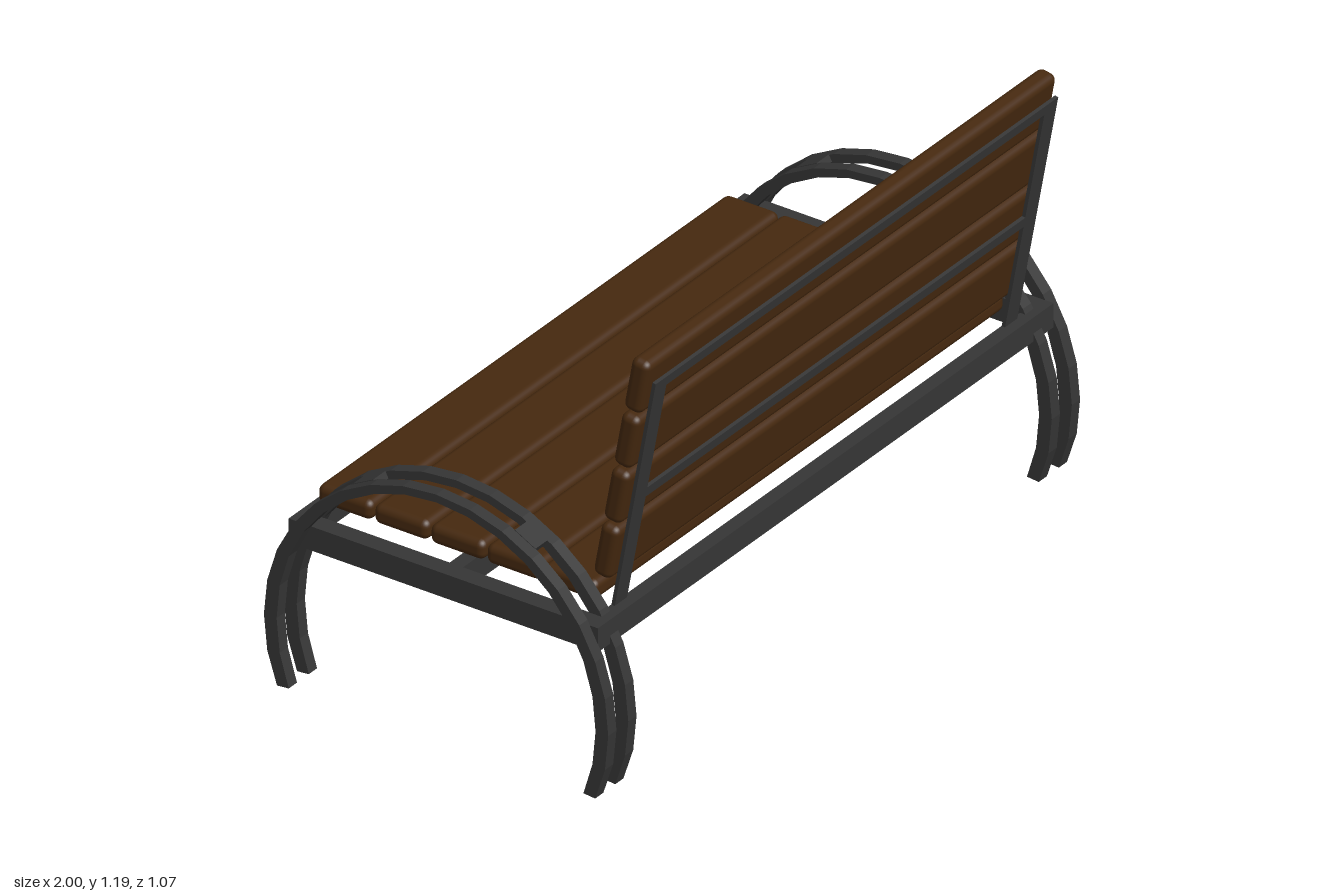
import * as THREE from 'three';
import { RoundedBoxGeometry } from 'three/addons/geometries/RoundedBoxGeometry.js';

export function createModel() {
  const model = new THREE.Group();
  const wood = new THREE.MeshStandardMaterial({ color: 0x46290f });
  const steel = new THREE.MeshStandardMaterial({ color: 0x363636 });

  const add = (parent, name, geometry, material, x = 0, y = 0, z = 0) => {
    const mesh = new THREE.Mesh(geometry, material);
    mesh.name = name;
    mesh.position.set(x, y, z);
    parent.add(mesh);
    return mesh;
  };
  const group = (name) => {
    const g = new THREE.Group();
    g.name = name;
    model.add(g);
    return g;
  };

  // Seat: five rounded planks
  const seat = group('seat');
  const seatPlank = new RoundedBoxGeometry(1.74, 0.055, 0.163, 3, 0.02);
  for (let i = 0; i < 5; i++) add(seat, 'seatSlat', seatPlank, wood, 0, 0.488, 0.288 - i * 0.168);

  // Backrest: four planks on a thin leaning frame
  const back = group('backrest');
  const lean = THREE.MathUtils.degToRad(10.4);
  const backPlank = new RoundedBoxGeometry(1.74, 0.156, 0.055, 3, 0.02);
  for (let i = 0; i < 4; i++) {
    add(back, 'backSlat', backPlank, wood, 0, 0.612 + i * 0.166, 0.396 + i * 0.0305).rotation.x = lean;
  }
  const frame = group('backFrame');
  frame.position.set(0, 0.45, 0.409);
  frame.rotation.x = lean;
  for (const s of [-1, 1]) {
    add(frame, 'backUpright', new THREE.BoxGeometry(0.052, 0.69, 0.01), steel, s * 0.827, 0.345, 0);
  }
  for (const y of [0.333, 0.676]) {
    add(frame, 'backCrossbar', new THREE.BoxGeometry(1.61, 0.028, 0.01), steel, 0, y, 0);
  }

  // Seat frame: three long rails and one rail at each side
  const seatFrame = group('seatFrame');
  for (const z of [-0.46, -0.015, 0.425]) {
    add(seatFrame, 'longRail', new THREE.BoxGeometry(1.84, 0.068, 0.04), steel, 0, 0.426, z);
  }
  for (const s of [-1, 1]) {
    add(seatFrame, 'sideRail', new THREE.BoxGeometry(0.052, 0.068, 0.925), steel, s * 0.94, 0.426, -0.0175);
  }

  // Arched legs: a faceted band, thinner over the armrest than at the sides
  const arc = (rz, ry) => Array.from({ length: 21 }, (_, i) => {
    const a = ((i - 2) * Math.PI) / 16;
    return new THREE.Vector2(Math.cos(a) * rz, Math.max(0, 0.19 + Math.sin(a) * ry));
  });
  const band = new THREE.Shape([...arc(0.515, 0.51), ...arc(0.477, 0.488).reverse()]);
  const arch = new THREE.ExtrudeGeometry(band, { depth: 0.035, bevelEnabled: false });
  arch.translate(0, 0, -0.0175);
  arch.rotateY(-Math.PI / 2);

  for (const s of [-1, 1]) {
    const legs = group(s > 0 ? 'leftArches' : 'rightArches');
    for (const x of [0.8975, 0.9825]) add(legs, 'archLeg', arch, steel, s * x, 0, -0.015);
    // Small plates tying each pair of arches together
    for (const d of [-1, 1]) {
      const plate = add(legs, 'archPlate', new THREE.BoxGeometry(0.052, 0.02, 0.07), steel,
        s * 0.94, 0.63, -0.015 + d * 0.238);
      plate.rotation.x = d * 0.49;
    }
  }
  return model;
}
